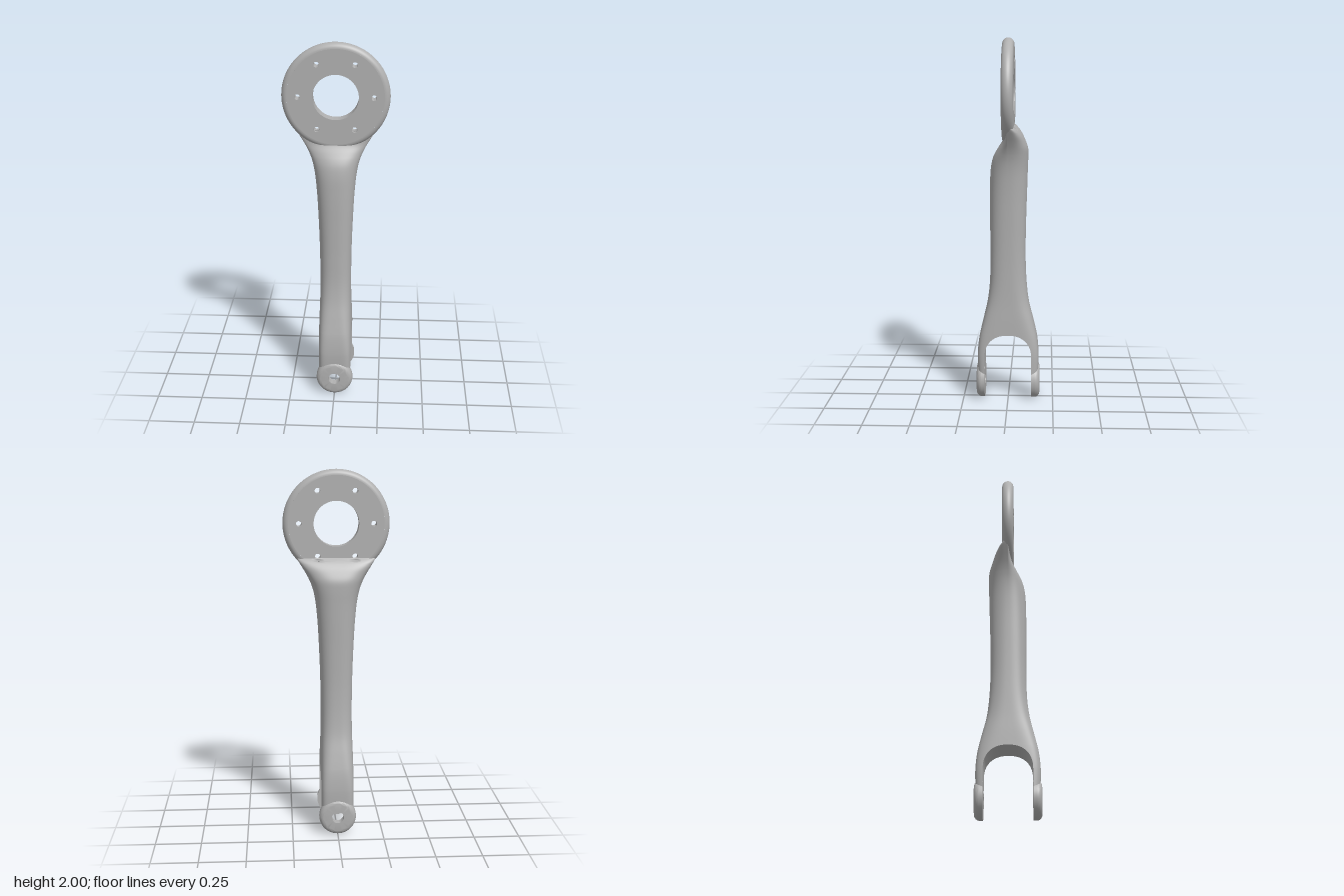
import * as THREE from 'three';
import { mergeGeometries, mergeVertices, toCreasedNormals } from 'three/addons/utils/BufferGeometryUtils.js';

// arm sections: y, half width, front depth, back depth, front squareness, back squareness
const SECTIONS = [
  [0.15, 0.093, 0.166, 0.167, 6, 6],
  [0.25, 0.093, 0.17, 0.17, 6, 6],
  [0.35, 0.092, 0.161, 0.161, 5, 5],
  [0.45, 0.09, 0.139, 0.139, 4, 4],
  [0.55, 0.087, 0.116, 0.115, 3.2, 3.2],
  [0.65, 0.086, 0.103, 0.103, 2.8, 2.8],
  [0.8, 0.087, 0.099, 0.096, 2.6, 2.6],
  [1.0, 0.093, 0.1, 0.098, 2.5, 2.5],
  [1.2, 0.104, 0.1, 0.104, 2.4, 2.4],
  [1.3, 0.115, 0.095, 0.107, 2.3, 2.4],
  [1.36, 0.128, 0.082, 0.109, 2.2, 2.5],
  [1.41, 0.147, 0.055, 0.107, 2.1, 2.6],
  [1.45, 0.168, 0.03, 0.092, 2, 3],
  [1.49, 0.192, 0.02, 0.07, 2, 4],
  [1.515, 0.207, 0.018, 0.048, 2, 5],
  [1.53, 0.215, 0.018, 0.03, 2, 5],
];
const SLOT = 0.13, ARCH_Y = 0.245, RING_Y = 1.712, RING_R = 0.288, HALF_T = 0.0315;

// surface through rows of points
function loft(rows, flip) {
  const n = rows[0].length, index = [];
  for (let i = 0; i < rows.length - 1; i++) {
    for (let j = 0; j < n - 1; j++) {
      const a = i * n + j, b = a + 1, c = a + n, d = c + 1;
      if (flip) index.push(a, b, c, b, d, c);
      else index.push(a, c, b, b, c, d);
    }
  }
  const g = new THREE.BufferGeometry();
  g.setAttribute('position', new THREE.Float32BufferAttribute(rows.flat(2), 3));
  g.setIndex(index);
  return g;
}

function smooth(g) {
  const merged = mergeVertices(g, 1e-5);
  merged.computeVertexNormals();
  return merged;
}

// half depth of the fork slot at height y
function slotAt(y) {
  if (y <= ARCH_Y) return SLOT;
  const k = Math.min(1, (y - ARCH_Y) / SLOT);
  return SLOT * Math.pow(Math.max(0, 1 - Math.pow(k, 2.3)), 1 / 2.3);
}

// one side of the arm's cross-section, cut off at the slot
function halfSection(v, y, side) {
  const w = v[1], d = side > 0 ? v[2] : v[3], n = side > 0 ? v[4] : v[5];
  const start = Math.asin(Math.pow(slotAt(y) / d, n / 2));
  const row = [], steps = 56;
  for (let j = 0; j <= steps; j++) {
    const a = start + (Math.PI - 2 * start) * j / steps;
    const c = Math.cos(a), s = Math.max(0, Math.sin(a));
    const x = w * Math.sign(c) * Math.pow(Math.abs(c), 2 / n);
    let z = d * Math.pow(s, 2 / n);
    // screw head clearance in the shoulder
    if (side < 0 && Math.hypot(Math.abs(x) - 0.1, y - 1.54) < 0.029) z = Math.min(z, 0.033);
    row.push([x, y, side * z]);
  }
  return row;
}

export function createModel() {
  const group = new THREE.Group();
  const metal = new THREE.MeshStandardMaterial({ color: 0xb0b0b0 });
  metal.name = 'grey metal';
  const add = (name, geometry) => {
    const mesh = new THREE.Mesh(geometry, metal);
    mesh.name = name;
    group.add(mesh);
    return mesh;
  };

  // heights: straight fork legs, arch, shaft, shoulder
  const heights = [0.15, 0.18, 0.215];
  for (let i = 0; i <= 16; i++) heights.push(ARCH_Y + SLOT * Math.sin(Math.PI / 2 * i / 16));
  for (let y = 0.4; y < 1.379; y += 0.02) heights.push(y);
  for (let y = 1.38; y < 1.5; y += 0.01) heights.push(y);
  for (let y = 1.5; y < 1.5301; y += 0.003) heights.push(y);

  const curve = new THREE.CubicInterpolant(
    SECTIONS.map((s) => s[0]), SECTIONS.flat(), 6, new Float32Array(6));
  const sampled = heights.map((y) => Array.from(curve.evaluate(Math.min(y, 1.53))));

  // arm shell and the inside of the fork
  const shells = [], inners = [];
  for (const side of [1, -1]) {
    const rows = heights.map((y, i) => halfSection(sampled[i], y, side));
    shells.push(loft(rows, side < 0));
    const edges = rows.filter((r, i) => heights[i] <= ARCH_Y + SLOT + 1e-6)
      .map((r) => [r[0], r[r.length - 1]]);
    inners.push(loft(edges, side > 0));
  }
  add('arm', smooth(mergeGeometries(shells)));
  add('forkInside', smooth(mergeGeometries(inners)));

  // ring plate with bore and six screw holes
  const plate = new THREE.Shape().absarc(0, 0, RING_R - 0.03, 0, Math.PI * 2);
  const cut = (x, y, r) => plate.holes.push(new THREE.Path().absarc(x, y, r, 0, Math.PI * 2, true));
  cut(0, 0, 0.122);
  for (let i = 0; i < 6; i++) {
    const a = i * Math.PI / 3;
    cut(0.202 * Math.cos(a), 0.202 * Math.sin(a), 0.015);
  }
  const plateGeo = new THREE.ExtrudeGeometry(plate, { depth: HALF_T * 2, bevelEnabled: false, curveSegments: 40 });
  plateGeo.translate(0, 0, -HALF_T);
  add('ringPlate', toCreasedNormals(plateGeo, 0.7)).position.y = RING_Y;

  // rounded rim of the ring
  const rim = [];
  for (let i = 0; i <= 16; i++) {
    const a = -Math.PI / 2 + Math.PI * i / 16;
    rim.push(new THREE.Vector2(RING_R - 0.03 + 0.03 * Math.cos(a), HALF_T * Math.sin(a)));
  }
  const rimMesh = add('ringRim', new THREE.LatheGeometry(rim, 96));
  rimMesh.position.y = RING_Y;
  rimMesh.rotation.x = Math.PI / 2;

  // drilled pivot pads at the fork tips
  const pad = [[0.033, 0], [0.102, 0]];
  for (let i = 0; i <= 8; i++) {
    const a = Math.PI / 2 * i / 8;
    pad.push([0.074 + 0.028 * Math.cos(a), 0.018 + 0.028 * Math.sin(a)]);
  }
  pad.push([0.033, 0.046], [0.033, 0]);
  const padGeo = toCreasedNormals(
    new THREE.LatheGeometry(pad.map((p) => new THREE.Vector2(...p)), 56), 0.6);
  for (const side of [1, -1]) {
    const mesh = add(side > 0 ? 'frontPivotPad' : 'backPivotPad', padGeo);
    mesh.position.set(0, 0.102, side * 0.1295);
    mesh.rotation.x = side * Math.PI / 2;
  }
  return group;
}
